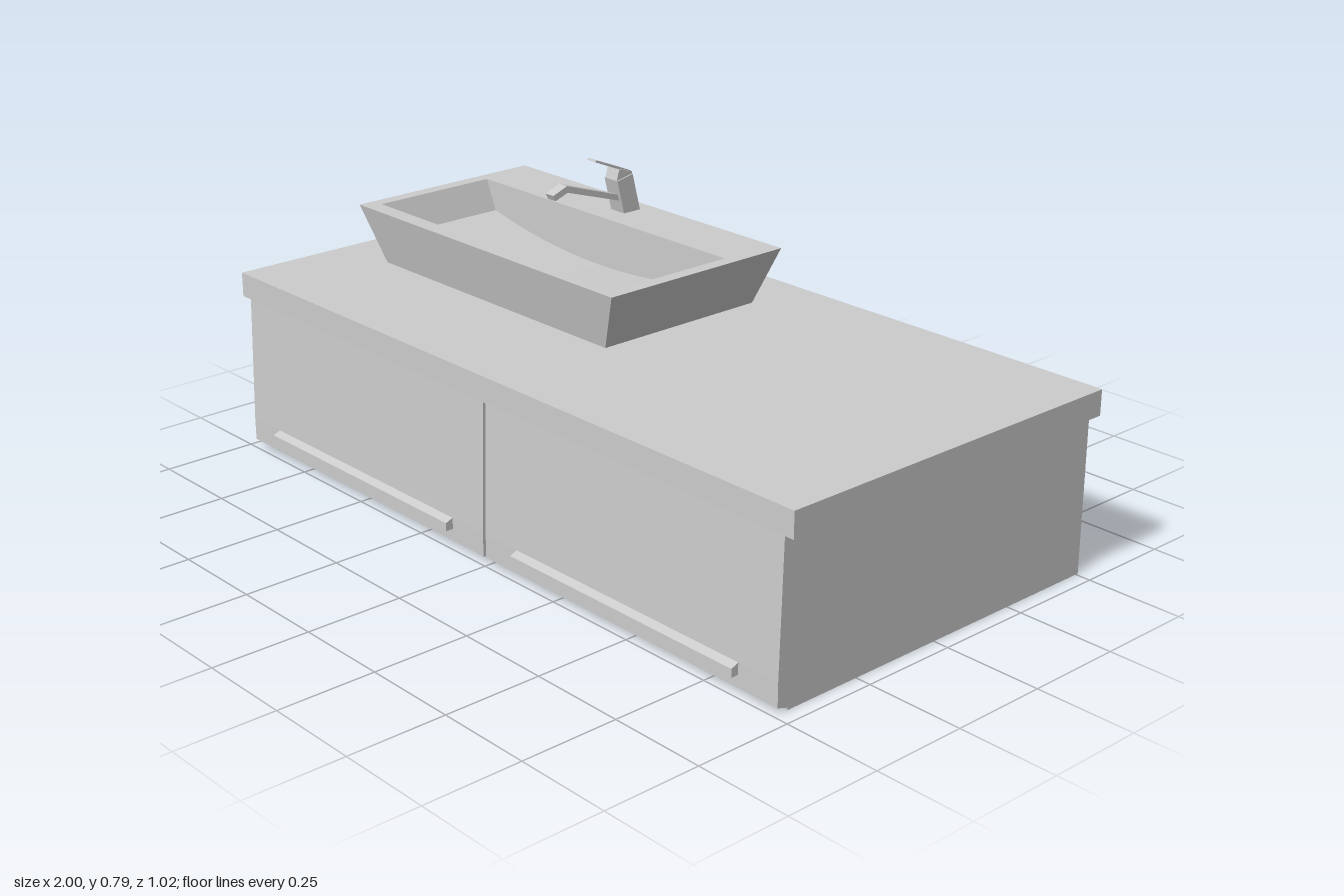
import * as THREE from 'three';

const grey = new THREE.MeshStandardMaterial({ color: 0xcccccc });
const greyDouble = new THREE.MeshStandardMaterial({ color: 0xcccccc, side: THREE.DoubleSide });

function add(parent, name, geometry, material = grey) {
  const mesh = new THREE.Mesh(geometry, material);
  mesh.name = name;
  parent.add(mesh);
  return mesh;
}

// Box given by its min and max on each axis
function box(parent, name, [x0, x1], [y0, y1], [z0, z1]) {
  const mesh = add(parent, name, new THREE.BoxGeometry(x1 - x0, y1 - y0, z1 - z0));
  mesh.position.set((x0 + x1) / 2, (y0 + y1) / 2, (z0 + z1) / 2);
}

const shapeOf = (points) => new THREE.Shape(points.map(([a, b]) => new THREE.Vector2(a, b)));

// Side profile of [z, y] points extruded across x
function sideProfile(parent, name, points, x0, x1) {
  const geo = new THREE.ExtrudeGeometry(shapeOf(points), { depth: x1 - x0, bevelEnabled: false });
  geo.rotateY(-Math.PI / 2).translate(x1, 0, 0);
  add(parent, name, geo);
}

// Flat-shaded skin between successive rows of points
function skin(rows) {
  const pos = [];
  for (let i = 0; i < rows.length - 1; i++) {
    for (let j = 0; j < rows[i].length - 1; j++) {
      const [a, b, c, d] = [rows[i][j], rows[i][j + 1], rows[i + 1][j + 1], rows[i + 1][j]];
      pos.push(...a, ...b, ...c, ...a, ...c, ...d);
    }
  }
  const geo = new THREE.BufferGeometry();
  geo.setAttribute('position', new THREE.Float32BufferAttribute(pos, 3));
  geo.computeVertexNormals();
  return geo;
}

// Closed rectangle of corners at height y, anticlockwise seen from above
const ring = (x0, x1, z0, z1, y) =>
  [[x0, y, z1], [x1, y, z1], [x1, y, z0], [x0, y, z0], [x0, y, z1]];

function createBasin() {
  const basin = new THREE.Group();
  basin.name = 'basin';
  const top = 0.63, zBack = -0.195, zFront = 0.155;

  // Tapered outside and flat rim
  add(basin, 'basinShell', skin([
    ring(-0.815, 0.052, -0.32, 0.165, 0.48),
    ring(-0.88, 0.115, -0.355, 0.2, top),
    ring(-0.845, 0.08, zBack, zFront, top),
  ]), greyDouble);

  // Bowl section: sloping ends joined by a dished floor
  const section = [[-0.845, top]];
  const n = 16;
  for (let i = 0; i <= n; i++) {
    const t = i / n;
    section.push([-0.81 + 0.855 * t, 0.55 - 0.05 * (1 - (2 * t - 1) ** 2)]);
  }
  section.push([0.08, top]);
  const row = (z) => section.map(([x, y]) => [x, y, z]);
  add(basin, 'bowlFloor', skin([row(zFront), row(zBack)]), greyDouble);
  for (const [name, z] of [['bowlFrontWall', zFront], ['bowlBackWall', zBack]]) {
    add(basin, name, new THREE.ShapeGeometry(shapeOf(section)), greyDouble).position.z = z;
  }
  return basin;
}

function createFaucet() {
  const faucet = new THREE.Group();
  faucet.name = 'faucet';
  const x = -0.385;
  sideProfile(faucet, 'faucetBody',
    [[-0.315, 0.63], [-0.26, 0.63], [-0.238, 0.72], [-0.29, 0.73]], x - 0.025, x + 0.025);
  sideProfile(faucet, 'faucetCap',
    [[-0.29, 0.73], [-0.238, 0.72], [-0.247, 0.75], [-0.29, 0.737]], x - 0.022, x + 0.022);
  sideProfile(faucet, 'spout',
    [[-0.252, 0.664], [-0.08, 0.719], [-0.04, 0.705], [-0.033, 0.72], [-0.078, 0.737], [-0.247, 0.681]],
    x - 0.015, x + 0.015);
  sideProfile(faucet, 'lever',
    [[-0.29, 0.732], [-0.245, 0.75], [-0.172, 0.781], [-0.174, 0.786], [-0.25, 0.755], [-0.29, 0.738]],
    x - 0.016, x + 0.016);
  return faucet;
}

export function createModel() {
  const model = new THREE.Group();
  model.name = 'washstand';

  box(model, 'cabinet', [-0.99, 0.96], [0, 0.415], [-0.507, 0.459]);
  box(model, 'countertop', [-1, 1], [0.415, 0.479], [-0.493, 0.494]);

  // Slightly tilted drawer fronts, each with a bar handle
  const front = [[0.459, 0.006], [0.488, 0.015], [0.488, 0.075], [0.478, 0.415], [0.459, 0.415]];
  sideProfile(model, 'rightDrawerFront', front, -0.99, -0.02);
  sideProfile(model, 'leftDrawerFront', front, -0.01, 0.96);
  const bar = [[0.486, 0.046], [0.508, 0.046], [0.508, 0.067], [0.486, 0.076]];
  sideProfile(model, 'rightHandle', bar, -0.873, -0.137);
  sideProfile(model, 'leftHandle', bar, 0.106, 0.842);

  model.add(createBasin(), createFaucet());
  return model;
}
